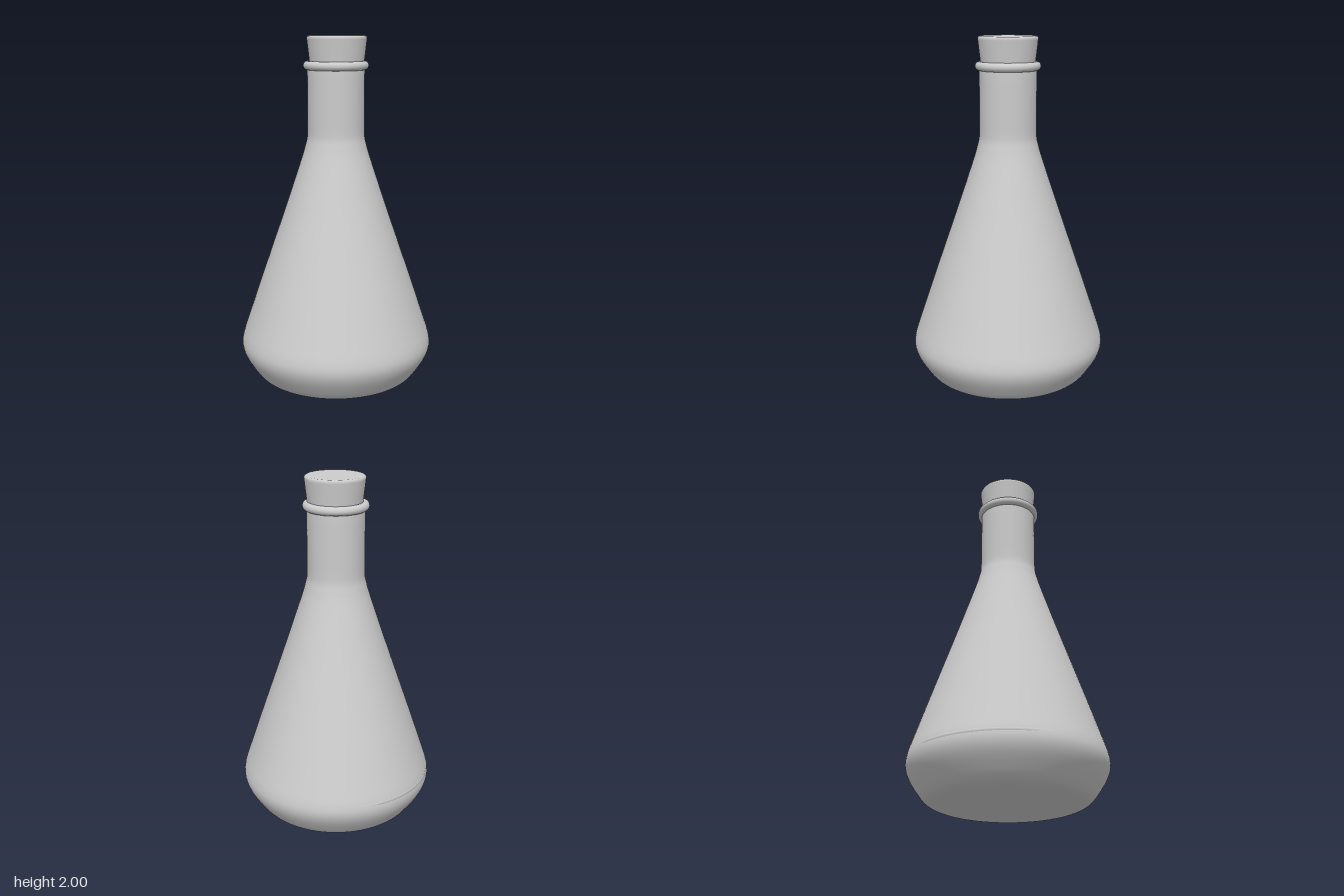
import * as THREE from 'three';

const grey = new THREE.MeshStandardMaterial({ color: 0xcccccc, side: THREE.DoubleSide });
const vectors = (pairs) => pairs.map(([r, y]) => new THREE.Vector2(r, y));

function lathe(name, points, x = 0, z = 0) {
  const mesh = new THREE.Mesh(new THREE.LatheGeometry(points, 96), grey);
  mesh.name = name;
  mesh.position.set(x, 0, z);
  return mesh;
}

export function createModel() {
  const model = new THREE.Group();
  model.name = 'stopperedFlask';

  // Flask: flat base, rounded heel, conical body and straight neck
  const heel = new THREE.SplineCurve(vectors([
    [0.34, 0.003], [0.405, 0.01], [0.455, 0.035], [0.5, 0.09],
    [0.54, 0.155], [0.556, 0.21], [0.55, 0.265], [0.528, 0.335],
  ])).getPoints(40);
  const shoulder = new THREE.SplineCurve(vectors([
    [0.528, 0.335], [0.435, 0.61], [0.297, 1.01], [0.2, 1.3],
    [0.175, 1.385], [0.164, 1.435], [0.162, 1.5],
  ])).getPoints(40).slice(1);
  model.add(lathe('flask', [
    ...vectors([[0, 0], [0.3, 0]]), ...heel, ...shoulder,
    ...vectors([[0.162, 1.75], [0.162, 1.85], [0.155, 1.858], [0.147, 1.85], [0.147, 1.6]]),
  ]));

  // Rolled rim around the mouth
  const rim = new THREE.Mesh(new THREE.TorusGeometry(0.16, 0.025, 20, 96), grey);
  rim.name = 'rim';
  rim.rotation.x = Math.PI / 2;
  rim.position.y = 1.835;
  model.add(rim);

  // Tapered stopper with a softly rounded top edge
  model.add(lathe('stopper', vectors([
    [0, 1.7], [0.138, 1.7], [0.146, 1.76], [0.155, 1.86], [0.169, 1.98],
    [0.1695, 1.989], [0.166, 1.996], [0.159, 2], [0.15, 2], [0, 2],
  ]), 0.005, 0));

  // Liquid, slightly off centre so its upper edge shows along one side
  model.add(lathe('liquid', vectors([
    [0, 0.02], [0.38, 0.03], [0.44, 0.06], [0.52, 0.16], [0.54, 0.235],
    [0.549, 0.245], [0.547, 0.26], [0.54, 0.261], [0, 0.261],
  ]), -0.005, -0.003));

  return model;
}
